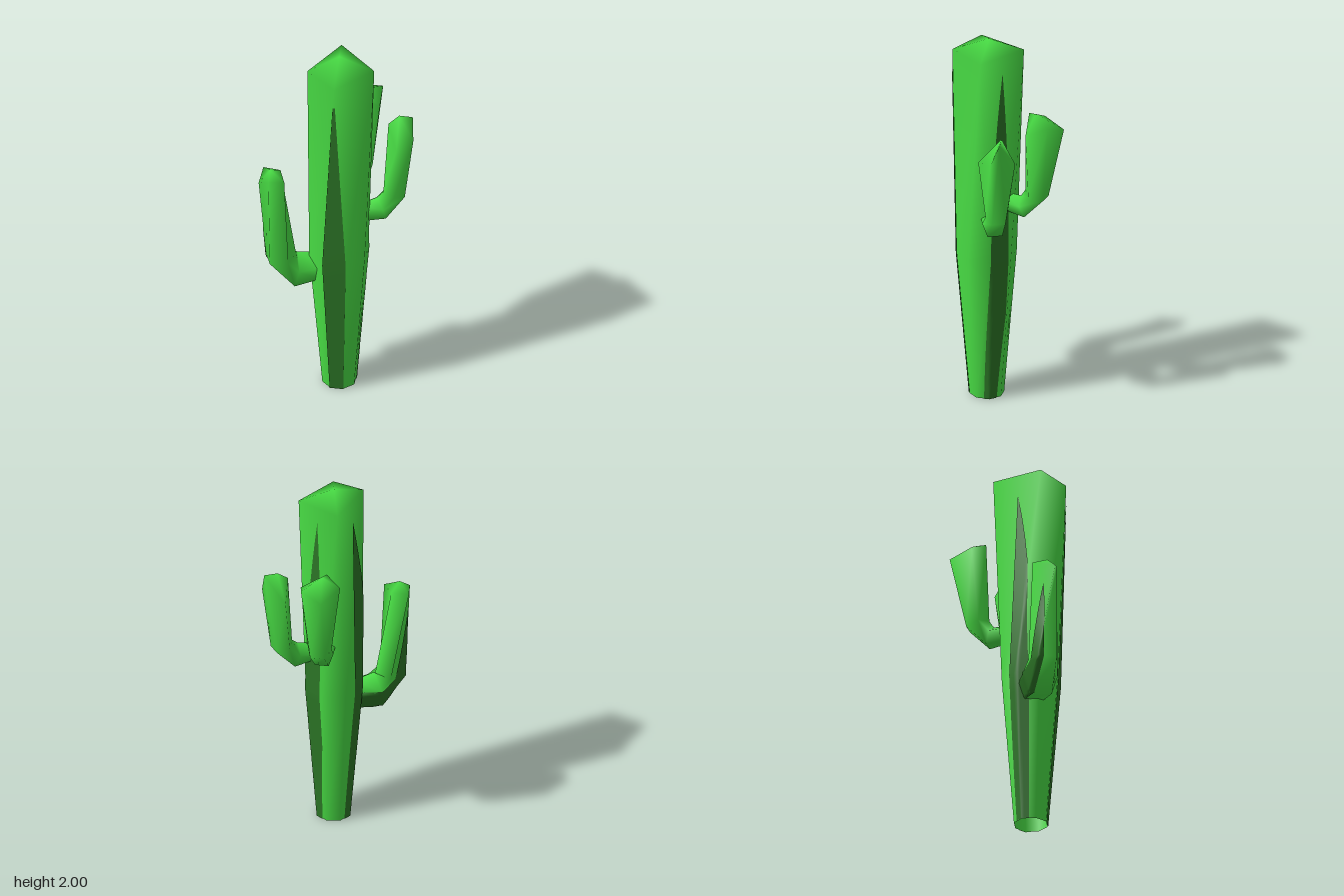
import * as THREE from 'three';

const material = (name, color) => {
  const m = new THREE.MeshStandardMaterial({ color, side: THREE.DoubleSide });
  m.name = name;
  return m;
};
const green = material('cactusGreen', 0x49df45);
const darkGreen = material('stripeGreen', 0x2c7526);

const V = (x, y, z) => new THREE.Vector3(x, y, z);
const mean = (pts) => pts.reduce((s, p) => s.add(p), V(0, 0, 0)).divideScalar(pts.length);

// Ring of n points round a centre; heading is horizontal, tilt turns it up to vertical
function ring(center, heading, tilt, r, n, phase) {
  const d = V(Math.cos(heading), 0, Math.sin(heading));
  const u = V(-d.z, 0, d.x);
  const v = d.clone().multiplyScalar(-Math.sin(tilt)).add(V(0, Math.cos(tilt), 0));
  return Array.from({ length: n }, (_, i) => {
    const a = phase + (i / n) * Math.PI * 2;
    return center.clone().addScaledVector(u, r * Math.cos(a)).addScaledVector(v, r * Math.sin(a));
  });
}

// Shift a ring's starting corner so that it lines up with the ring before it
function align(prev, pts) {
  let best = pts, bestD = Infinity;
  const offset = mean(pts).sub(mean(prev));
  for (let s = 0; s < pts.length; s++) {
    const c = pts.map((_, i) => pts[(i + s) % pts.length]);
    const dist = c.reduce((t, p, i) => t + p.clone().sub(offset).distanceToSquared(prev[i]), 0);
    if (dist < bestD) { bestD = dist; best = c; }
  }
  return best;
}

function smoothMesh(name, mat, pos, index) {
  const g = new THREE.BufferGeometry();
  g.setAttribute('position', new THREE.Float32BufferAttribute(pos, 3));
  g.setIndex(index);
  g.computeVertexNormals();
  const m = new THREE.Mesh(g, mat);
  m.name = name;
  return m;
}

// Smooth skin over rings, closed by a point; repeated corners are shared
function loft(name, rings, apex) {
  const pos = [], index = [], lookup = new Map();
  const id = (p) => {
    const key = p.toArray().map((c) => c.toFixed(5)).join();
    if (!lookup.has(key)) { lookup.set(key, pos.length / 3); pos.push(p.x, p.y, p.z); }
    return lookup.get(key);
  };
  const tri = (a, b, c) => {
    const t = [id(a), id(b), id(c)];
    if (new Set(t).size === 3) index.push(...t);
  };
  const n = rings[0].length;
  for (let k = 0; k < rings.length; k++) {
    for (let i = 0; i < n; i++) {
      const j = (i + 1) % n, a = rings[k], b = rings[k + 1];
      if (b) { tri(a[j], a[i], b[i]); tri(a[j], b[i], b[j]); }
      else tri(a[j], a[i], apex);
    }
  }
  return smoothMesh(name, green, pos, index);
}

// Point just outside a loft: u counts corners round the ring, v counts rings
function surfacePoint(rings, u, v) {
  const k = Math.min(Math.floor(v), rings.length - 2);
  const around = (r) => {
    const n = r.length, w = ((u % n) + n) % n, i = Math.floor(w) % n;
    return r[i].clone().lerp(r[(i + 1) % n], w - Math.floor(w));
  };
  const p = around(rings[k]).lerp(around(rings[k + 1]), v - k);
  const c = mean(rings[k]).lerp(mean(rings[k + 1]), v - k);
  return p.add(p.clone().sub(c).setLength(0.004));
}

// Dark stripe laid on a loft; stations are [v, first u, last u]
function stripe(name, rings, stations) {
  const pos = [], index = [], cols = 10, steps = 8;
  const rows = (stations.length - 1) * steps;
  for (let r = 0; r <= rows; r++) {
    const s = Math.min(Math.floor(r / steps), stations.length - 2);
    const [v, u0, u1] = stations[s].map((x, i) => THREE.MathUtils.lerp(x, stations[s + 1][i], r / steps - s));
    for (let c = 0; c <= cols; c++) {
      pos.push(...surfacePoint(rings, THREE.MathUtils.lerp(u0, u1, c / cols), v).toArray());
      if (r < rows && c < cols) {
        const a = r * (cols + 1) + c, b = a + cols + 1;
        index.push(a + 1, a, b, a + 1, b, b + 1);
      }
    }
  }
  return smoothMesh(name, darkGreen, pos, index);
}

// Arm rings: root, bend and elbow, then an uneven five-cornered tip
function armRings(heading, sections, tip) {
  const rings = sections.map(([x, y, z, r, tilt]) => ring(V(x, y, z), heading, tilt, r, 5, Math.PI / 2));
  rings.push(align(rings[rings.length - 1], tip.map((p) => V(...p))));
  return rings;
}

export function createModel() {
  const group = new THREE.Group();
  group.name = 'cactus';

  // Trunk: open eight-sided base and waist, narrowing to four corners at the top
  const up = Math.PI / 2;
  const start = THREE.MathUtils.degToRad(15 - 90);
  const corners = [
    V(0.165, 1.93, 0.17), V(-0.095, 1.92, 0.217),
    V(-0.15, 1.945, 0.03), V(0.115, 1.95, -0.095),
  ];
  const trunk = [
    ring(V(0.015, 0, 0.07), 0, up, 0.09, 8, start),
    ring(V(0.012, 0.8, 0.07), 0, up, 0.157, 8, start),
    corners.flatMap((c) => [c, c]),
  ];
  group.add(loft('trunk', trunk, V(0.02, 2, 0.06)));

  // Three tapering stripes round the trunk
  group.add(stripe('frontStripe', trunk, [[0, 2, 3], [1, 2, 3], [1.9, 2, 3]]));
  group.add(stripe('backStripe', trunk, [[0, 4.5, 5.6], [1, 4.45, 5.45], [1.9, 5.45, 5.45]]));
  group.add(stripe('leftStripe', trunk, [[0, -0.6, 0.4], [0.6, -0.9, 0.15], [1, -0.85, 0], [1.92, -0.5, -0.5]]));

  // Low arm on the right, with a stripe along its back
  const rightArm = armRings(Math.PI + 0.28, [
    [-0.08, 0.72, 0.025, 0.078, 0],
    [-0.205, 0.72, -0.005, 0.098, 0.15],
    [-0.278, 0.8, -0.025, 0.082, 1.45],
  ], [
    [-0.4, 1.29, -0.035], [-0.325, 1.31, -0.125], [-0.26, 1.31, -0.06],
    [-0.29, 1.3, 0.04], [-0.362, 1.3, 0],
  ]);
  group.add(loft('rightArm', rightArm, V(-0.33, 1.345, -0.04)));
  group.add(stripe('rightArmStripe', rightArm, [[0, 3, 4.2], [1, 2.8, 4], [2, 2.7, 3.7], [2.8, 3.4, 3.4]]));

  // Front arm on the left
  group.add(loft('leftFrontArm', armRings(0.2, [
    [0.1, 1.025, 0.095, 0.047, 0],
    [0.23, 1.035, 0.12, 0.066, 0.3],
    [0.3, 1.11, 0.135, 0.06, 1.3],
  ], [
    [0.34, 1.42, 0.05], [0.395, 1.565, 0.16], [0.375, 1.45, 0.205],
    [0.265, 1.43, 0.225], [0.28, 1.53, 0.11],
  ]), V(0.335, 1.572, 0.125)));

  // Rear arm on the left
  group.add(loft('leftRearArm', armRings(-0.75, [
    [0.09, 1.11, 0.015, 0.047, 0],
    [0.19, 1.1, -0.065, 0.06, 0.3],
    [0.245, 1.18, -0.11, 0.065, 1.3],
  ], [
    [0.17, 1.58, -0.19], [0.325, 1.56, -0.23], [0.37, 1.6, -0.12],
    [0.3, 1.55, -0.025], [0.185, 1.62, -0.095],
  ]), V(0.23, 1.63, -0.11)));

  return group;
}
